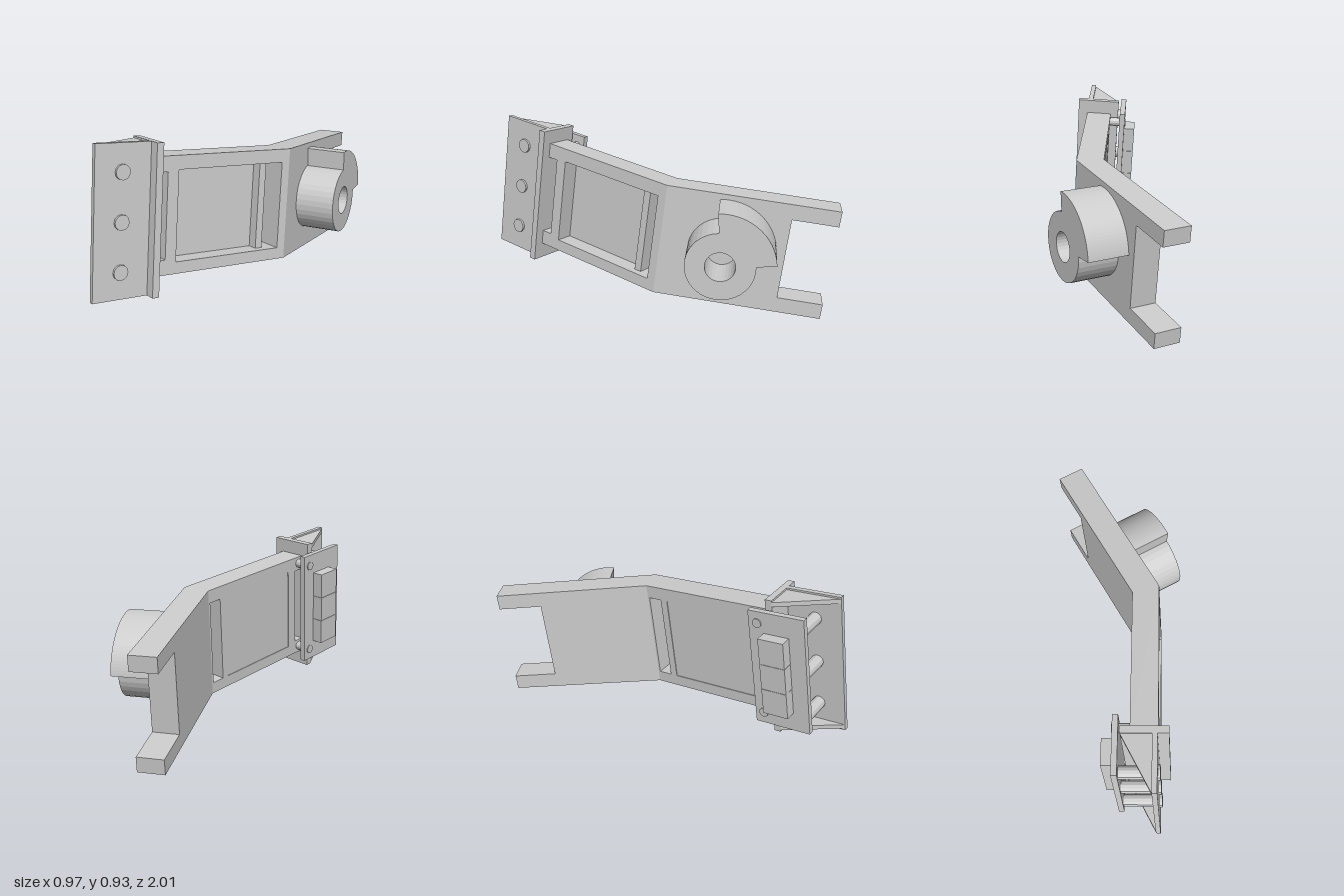
import * as THREE from 'three';

const T = 0.145;                       // arm thickness
const MITRE = Math.tan(Math.PI / 12);  // the arm bends by 30 degrees
const BOTTOM = 0.123, TOP = 0.747;
const mat = new THREE.MeshStandardMaterial({ color: 0xcccccc, flatShading: true });

// In each section: x runs along the arm, y is up, z goes from the outer to the inner face.
function add(parent, name, geometry, x = 0, y = 0, z = 0) {
  const mesh = new THREE.Mesh(geometry, mat);
  mesh.name = name;
  mesh.position.set(x, y, z);
  parent.add(mesh);
  return mesh;
}

function block(parent, name, [x0, x1], [y0, y1], [z0, z1]) {
  return add(parent, name, new THREE.BoxGeometry(x1 - x0, y1 - y0, z1 - z0),
    (x0 + x1) / 2, (y0 + y1) / 2, (z0 + z1) / 2);
}

function pin(parent, name, radius, x, y, [z0, z1], sides = 12) {
  const geometry = new THREE.CylinderGeometry(radius, radius, z1 - z0, sides).rotateX(Math.PI / 2);
  return add(parent, name, geometry, x, y, (z0 + z1) / 2);
}

const polygon = (points) => new THREE.Shape(points.map(([x, y]) => new THREE.Vector2(x, y)));

const extrude = (shape, depth) =>
  new THREE.ExtrudeGeometry(shape, { depth, bevelEnabled: false, curveSegments: 14 });

// Slants the end at x = 0 so that both arm sections meet at the bend
function mitre(geometry, sign) {
  const p = geometry.attributes.position;
  for (let i = 0; i < p.count; i++) {
    if (Math.abs(p.getX(i)) < 1e-6) p.setX(i, sign * p.getZ(i) * MITRE);
  }
  geometry.computeVertexNormals();
  return geometry;
}

function buildRear(rear) {
  // Straight section with a forked end
  add(rear, 'rearArm', mitre(extrude(polygon([
    [0, BOTTOM], [0, TOP], [-0.917, TOP], [-0.917, 0.662],
    [-0.67, 0.662], [-0.67, 0.208], [-0.917, 0.208], [-0.917, BOTTOM],
  ]), T), -1));

  // Hub with a raised quarter cam and a bore
  const rad = THREE.MathUtils.degToRad;
  const hub = new THREE.Shape();
  hub.absarc(0, 0, 0.185, rad(170), rad(440), false);
  hub.absarc(0, 0, 0.29, rad(80), rad(170), false);
  hub.closePath();
  hub.holes.push(new THREE.Path().absarc(0, 0, 0.08, 0, Math.PI * 2, true));
  add(rear, 'camHub', extrude(hub, 0.22), -0.335, 0.429, -0.22);
}

function buildFront(front) {
  // Angled section with a window and a forked tip
  const arm = polygon([
    [0, BOTTOM], [0.845, BOTTOM], [0.845, 0.205], [0.774, 0.205],
    [0.774, 0.665], [0.845, 0.665], [0.845, TOP], [0, TOP],
  ]);
  arm.holes.push(polygon([[0.05, 0.187], [0.05, 0.673], [0.71, 0.673], [0.71, 0.187]]));
  add(front, 'frontArm', mitre(extrude(arm, T), 1));
  block(front, 'windowRib', [0.128, 0.17], [0.187, 0.673], [0.042, T]);
  block(front, 'windowPanel', [0.17, 0.71], [0.187, 0.673], [0.1, T - 0.004]);

  // Clamp bracket at the tip
  block(front, 'clampFlange', [0.835, 0.873], [0.03, 0.825], [-0.055, 0.19]);
  block(front, 'clampFrontPlate', [0.873, 1.178], [0.03, 0.825], [0.003, 0.03]);
  const triangle = polygon([[0.873, 0.03], [1.175, 0.03], [0.873, 0.19]]);
  for (const y of [0.815, 0.065]) {
    add(front, 'clampGusset', extrude(triangle, 0.025).rotateX(Math.PI / 2), 0, y, 0);
  }
  block(front, 'clampBackPlate', [0.755, 1.075], [0.1, 0.774], [0.203, 0.234]);

  // Clamp pins with heads
  for (const y of [0.173, 0.429, 0.681]) {
    pin(front, 'clampPin', 0.035, 1.03, y, [0.02, 0.21]);
    pin(front, 'pinHead', 0.04, 1.03, y, [-0.01, 0.01]);
  }
  // Corner screws of the back plate
  for (const y of [0.165, 0.708]) pin(front, 'cornerScrew', 0.026, 0.805, y, [0.13, 0.24]);

  // Three pads in a row on the back plate
  for (let i = 0; i < 3; i++) {
    const y = 0.21 + i * 0.149;
    block(front, 'backPad', [0.84, 0.985], [y, y + 0.147], [0.23, 0.297]);
  }
}

export function createModel() {
  const model = new THREE.Group();
  model.name = 'bentArm';
  const tilted = new THREE.Group();
  tilted.name = 'tiltedArm';
  tilted.rotation.x = THREE.MathUtils.degToRad(-7);
  model.add(tilted);

  for (const [name, turn, build] of [['rearSection', -90, buildRear], ['frontSection', -120, buildFront]]) {
    const section = new THREE.Group();
    section.name = name;
    section.position.x = 0.265;
    section.rotation.y = THREE.MathUtils.degToRad(turn);
    build(section);
    tilted.add(section);
  }
  return model;
}
